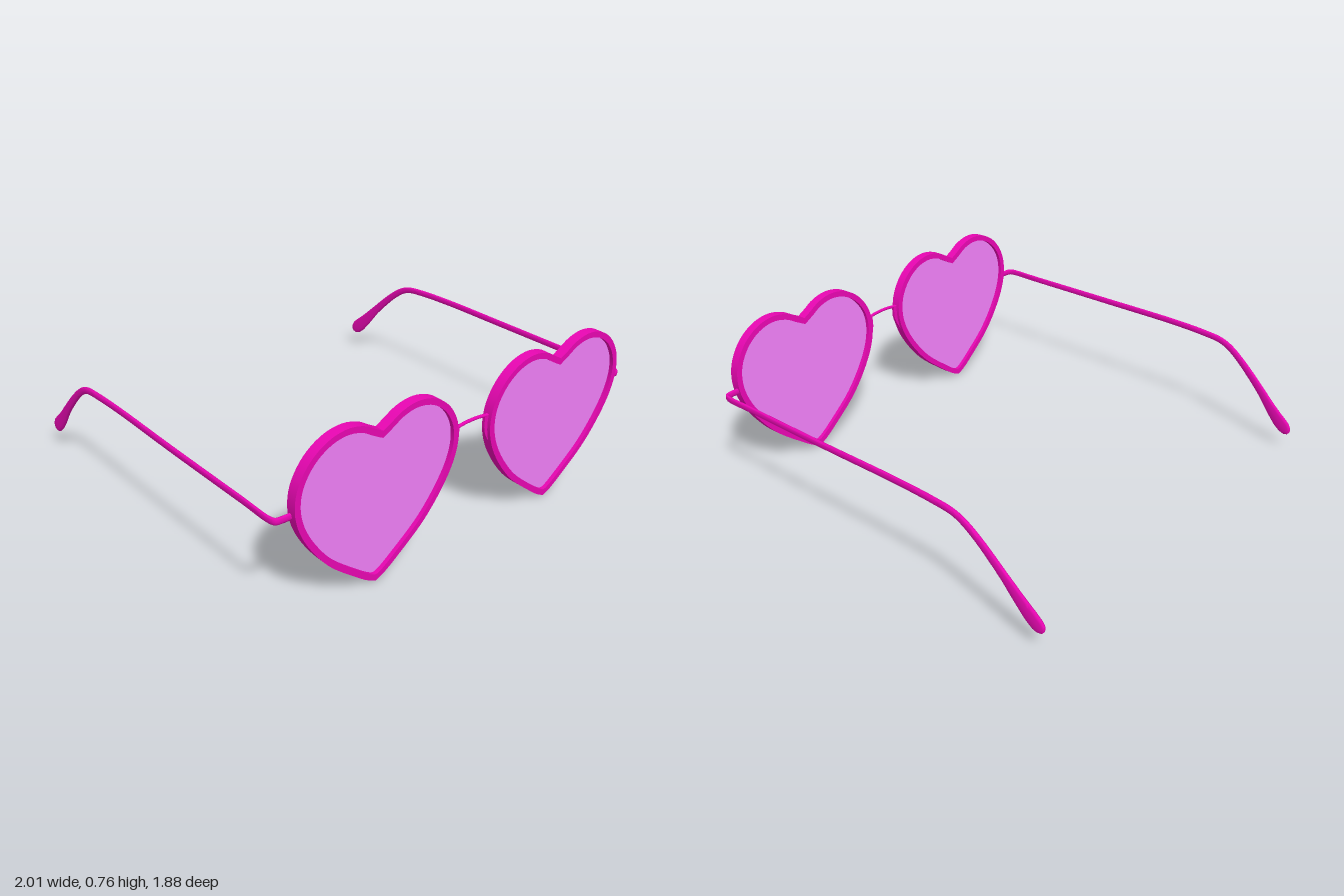
import * as THREE from 'three';
import { toCreasedNormals } from 'three/addons/utils/BufferGeometryUtils.js';

const V2 = (x, y) => new THREE.Vector2(x, y);
const V3 = (x, y, z) => new THREE.Vector3(x, y, z);
const frameMat = new THREE.MeshStandardMaterial({ color: 0xe806b2 });
const lensMat = new THREE.MeshStandardMaterial({ color: 0xf080f8 });
const MID_Y = 0.385, FRONT_Z = 0.906, TILT = 0.033, HEART_X = 0.509;

function mesh(name, geometry, material = frameMat) {
  const m = new THREE.Mesh(geometry, material);
  m.name = name;
  return m;
}

// Heart outline, symmetric about x = 0, shrunk inward by inset
function heartPoints(inset) {
  const half = new THREE.CatmullRomCurve3([
    [0, 0.694], [0.04, 0.716], [0.09, 0.745], [0.17, 0.763], [0.26, 0.747], [0.345, 0.69],
    [0.402, 0.6], [0.416, 0.51], [0.399, 0.42], [0.35, 0.32], [0.25, 0.19],
    [0.12, 0.08], [0.04, 0.022], [0, 0.003],
  ].map(([x, y]) => V3(x, y, 0)), false, 'centripetal');
  const n = 56, right = [];
  for (let i = 0; i <= n; i++) {
    const p = half.getPointAt(i / n), t = half.getTangentAt(i / n);
    const x = p.x + t.y * inset, y = p.y - t.x * inset;
    if (x > 0.004) right.push(V2(x, y - MID_Y));
  }
  const notch = V2(0, 0.694 - inset * 1.12 - MID_Y);
  const tip = V2(0, 0.003 + inset * 1.2 - MID_Y);
  const left = right.map(p => V2(-p.x, p.y)).reverse();
  return [notch, ...right, tip, ...left];
}

function extrude(shape, depth) {
  const g = new THREE.ExtrudeGeometry(shape, { depth, bevelEnabled: false });
  g.translate(0, 0, -depth / 2);
  return toCreasedNormals(g, 0.6);
}

// Sweeps a soft-cornered section; each station is [x, y, z, width, height]
function sweep(stations, steps, sides = 12) {
  const curve = new THREE.CatmullRomCurve3(stations.map(s => V3(s[0], s[1], s[2])), false, 'centripetal');
  const pos = [], index = [], up = V3(0, 1, 0), last = stations.length - 1;
  const soft = v => Math.sign(v) * Math.abs(v) ** 0.7;
  for (let i = 0; i <= steps; i++) {
    const t = i / steps, k = Math.min(Math.floor(t * last), last - 1), f = t * last - k;
    const p = curve.getPoint(t), dir = curve.getTangent(t);
    const side = dir.clone().cross(up).normalize(), rise = side.clone().cross(dir);
    const [w, h] = [3, 4].map(c => THREE.MathUtils.lerp(stations[k][c], stations[k + 1][c], f) / 2);
    for (let j = 0; j < sides; j++) {
      const a = j / sides * Math.PI * 2;
      const q = p.clone().addScaledVector(side, soft(Math.cos(a)) * w).addScaledVector(rise, soft(Math.sin(a)) * h);
      pos.push(q.x, q.y, q.z);
    }
  }
  for (let i = 0; i < steps; i++) for (let j = 0; j < sides; j++) {
    const a = i * sides + j, b = i * sides + (j + 1) % sides;
    index.push(a, a + sides, b, b, a + sides, b + sides);
  }
  // End caps
  const end = steps * sides;
  for (let j = 1; j < sides - 1; j++) index.push(0, j, j + 1, end, end + j + 1, end + j);
  const g = new THREE.BufferGeometry();
  g.setAttribute('position', new THREE.Float32BufferAttribute(pos, 3));
  g.setIndex(index);
  return toCreasedNormals(g, 0.9);
}

export function createModel() {
  const model = new THREE.Group();
  model.name = 'heartGlasses';

  // Lens fronts lean slightly forward at the top
  const front = new THREE.Group();
  front.name = 'front';
  front.position.set(0, MID_Y, FRONT_Z);
  front.rotation.x = TILT;
  model.add(front);

  // The hole runs opposite to the outline so its walls face inward
  const rimShape = new THREE.Shape(heartPoints(0));
  rimShape.holes.push(new THREE.Path(heartPoints(0.027).reverse()));
  const rimGeo = extrude(rimShape, 0.045);
  const lensGeo = extrude(new THREE.Shape(heartPoints(0.024)), 0.008);

  // Small tab on the inner edge of the rim that holds the bridge
  const tab = new THREE.Shape();
  tab.moveTo(0.125, 0.405 - MID_Y);
  tab.quadraticCurveTo(0.082, 0.45 - MID_Y, 0.075, 0.5 - MID_Y);
  tab.lineTo(0.075, 0.55 - MID_Y);
  tab.lineTo(0.108, 0.557 - MID_Y);
  tab.lineTo(0.108, 0.46 - MID_Y);
  const tabGeo = extrude(tab, 0.014);

  for (const s of [1, -1]) {
    const name = s > 0 ? 'left' : 'right';
    const rim = mesh(name + 'Rim', rimGeo);
    const lens = mesh(name + 'Lens', lensGeo, lensMat);
    rim.position.x = lens.position.x = s * HEART_X;
    const bridgeTab = mesh(name + 'BridgeTab', tabGeo);
    if (s < 0) bridgeTab.rotation.y = Math.PI;
    front.add(rim, lens, bridgeTab);

    // Temple arm: hinge corner, long straight, drop behind the ear, rounded tip
    const arm = [
      [0.905, 0.469, 0.902, 0.014, 0.03], [0.96, 0.469, 0.9, 0.014, 0.03],
      [0.984, 0.469, 0.895, 0.014, 0.03], [0.993, 0.469, 0.875, 0.014, 0.03],
      [0.993, 0.47, 0.7, 0.014, 0.03], [0.993, 0.474, 0.2, 0.015, 0.031],
      [0.99, 0.478, -0.2, 0.016, 0.031], [0.988, 0.472, -0.4, 0.018, 0.031],
      [0.986, 0.461, -0.5, 0.018, 0.031], [0.984, 0.438, -0.555, 0.018, 0.033],
      [0.98, 0.383, -0.63, 0.018, 0.036], [0.974, 0.27, -0.75, 0.018, 0.044],
      [0.969, 0.195, -0.82, 0.019, 0.06], [0.966, 0.142, -0.874, 0.02, 0.073],
      [0.965, 0.116, -0.905, 0.02, 0.071], [0.964, 0.1, -0.924, 0.018, 0.05],
      [0.964, 0.092, -0.933, 0.012, 0.018],
    ].map(([x, ...rest]) => [s * x, ...rest]);
    model.add(mesh(name + 'Arm', sweep(arm, 96)));
  }

  // Thin, gently arched bridge wire
  const wire = new THREE.CatmullRomCurve3([-0.11, -0.07, -0.03, 0.03, 0.07, 0.11].map(
    x => V3(x, 0.558 - 1.1 * x * x - MID_Y, 0)));
  front.add(mesh('bridge', new THREE.TubeGeometry(wire, 32, 0.0075, 10, false)));
  return model;
}
